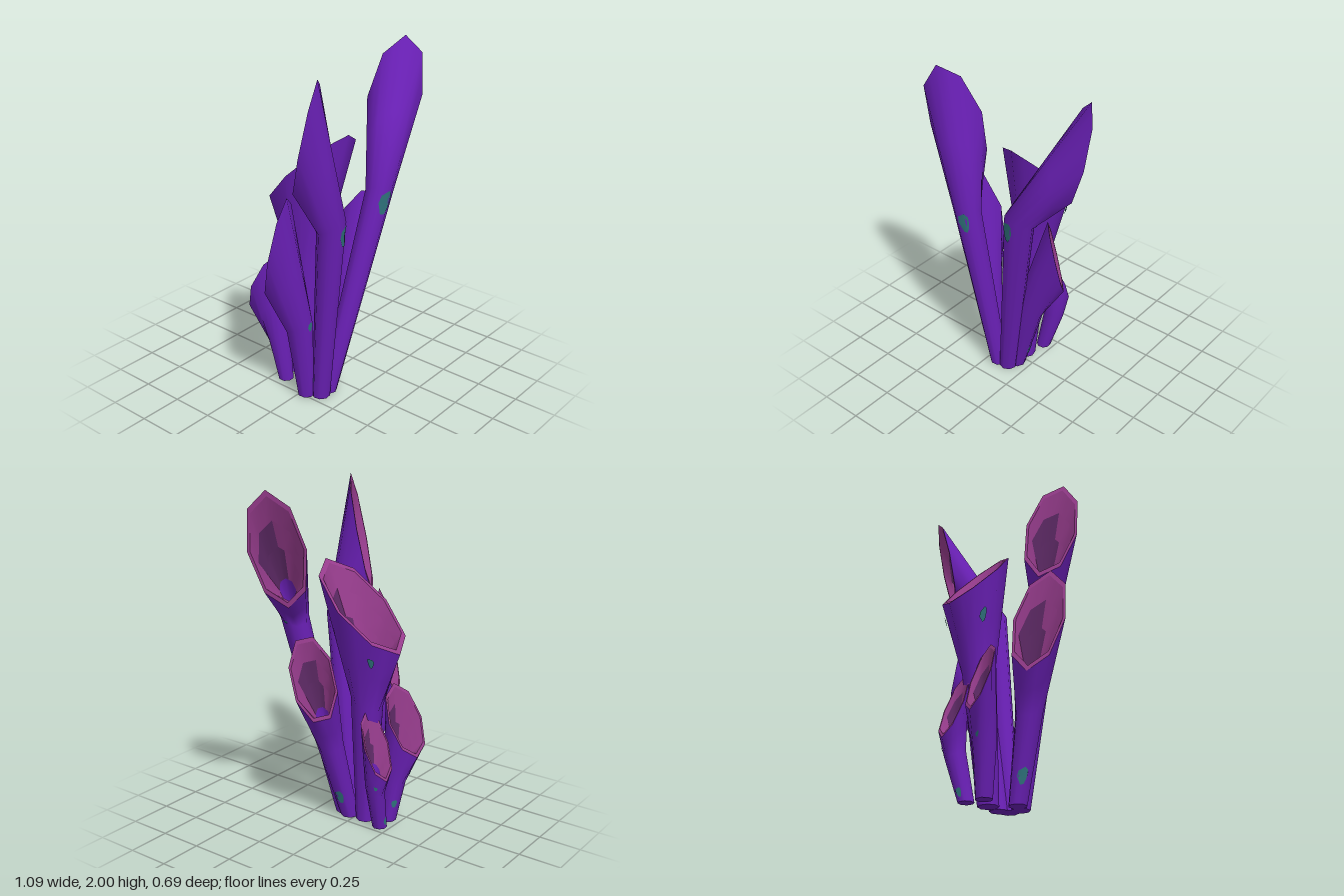
import * as THREE from 'three';

const SIDES = 8;
const STEP = 0.5;
const V = (a) => new THREE.Vector3(...a);

// A ring is an eight-sided ellipse: centre c, half axes u and v.
const ring = (c, u, v) => ({ c, u, v });
const scaled = (r, k) => ring(r.c, r.u.clone().multiplyScalar(k), r.v.clone().multiplyScalar(k));
const mix = (a, b, f) => ring(a.c.clone().lerp(b.c, f), a.u.clone().lerp(b.u, f), a.v.clone().lerp(b.v, f));

// Point on a ring at t sides around, following the straight edges.
function ringPoint(r, t) {
  const corner = (k) => {
    const a = (k / SIDES) * Math.PI * 2;
    return r.c.clone().addScaledVector(r.u, Math.cos(a)).addScaledVector(r.v, Math.sin(a));
  };
  const k = Math.floor(t);
  return corner(k).lerp(corner(k + 1), t - k);
}

function geometry(pos, idx) {
  const g = new THREE.BufferGeometry();
  g.setAttribute('position', new THREE.Float32BufferAttribute(pos, 3));
  g.setIndex(idx);
  g.computeVertexNormals();
  return g;
}

// Skin between successive rings, over sides t0 to t1 in half-side steps.
function loft(rings, t0 = 0, t1 = SIDES) {
  const strips = (t1 - t0) / STEP;
  const n = t1 - t0 === SIDES ? strips : strips + 1;
  const pos = [], idx = [];
  for (const r of rings) for (let k = 0; k < n; k++) pos.push(...ringPoint(r, t0 + k * STEP).toArray());
  for (let i = 0; i < rings.length - 1; i++) {
    for (let k = 0; k < strips; k++) {
      const a = i * n + k, b = i * n + ((k + 1) % n);
      idx.push(a, b, b + n, a, b + n, a + n);
    }
  }
  return geometry(pos, idx);
}

// Thin patch hugging the wall between two rings, centred at side t and height f.
function fleck(lower, upper, t, f, size) {
  const here = mix(lower, upper, f);
  const dt = (1.8 * size) / (here.u.length() + here.v.length());
  const df = (1.2 * size) / lower.c.distanceTo(upper.c);
  const at = (tt, ff) => ringPoint(scaled(mix(lower, upper, ff), 1.05), (tt + SIDES) % SIDES);
  const pos = at(t, f).toArray(), idx = [], n = 10;
  for (let i = 0; i < n; i++) {
    const a = (i / n) * Math.PI * 2, w = i % 3 ? 1 : 0.8;
    pos.push(...at(t + dt * w * Math.cos(a), f + df * w * Math.sin(a)).toArray());
    idx.push(0, i + 1, ((i + 1) % n) + 1);
  }
  return geometry(pos, idx);
}

// foot: x, z of the base; knee: where the stem widens into the cup
// mouth: centre of the opening; u, v: its upward and sideways half axes
// flecks: [side, height, size], height 0-1 on the stem and 1-2 on the cup
const TUBES = [
  { name: 'centralTube', foot: [-0.1, -0.06], knee: [-0.065, 0.76, -0.09],
    mouth: [-0.032, 1.32, -0.08], u: [0.018, 0.24, 0.24], v: [0.186, 0, 0.03],
    flecks: [[3, 1.75, 0.032], [5.4, 1.6, 0.04]] },
  { name: 'tallLeftTube', foot: [-0.11, 0.1], knee: [0.13, 1.24, 0.267],
    mouth: [0.407, 1.675, 0.15], u: [0.08, 0.325, 0.003], v: [0.117, 0, 0.103],
    flecks: [[0.6, 0.93, 0.06], [3.1, 1.1, 0.022]] },
  { name: 'tallRightTube', foot: [-0.18, 0.105], knee: [-0.263, 1.14, 0.247],
    mouth: [-0.38, 1.637, 0.18], u: [-0.028, 0.337, 0.1], v: [0.134, 0.055, -0.06],
    flecks: [[7.8, 0.93, 0.055], [4.5, 0.1, 0.025]] },
  { name: 'middleRightTube', foot: [-0.222, 0.03], knee: [-0.295, 0.49, 0.045],
    mouth: [-0.41, 0.99, 0], u: [-0.022, 0.325, 0.09], v: [0.137, 0.02, -0.05],
    flecks: [[4.5, 0.31, 0.042], [7.6, 0.96, 0.025]] },
  { name: 'middleLeftTube', foot: [-0.085, 0.045], knee: [0.05, 0.5, 0.09],
    mouth: [0.222, 0.932, 0.069], u: [-0.037, 0.233, 0.028], v: [0.078, 0.07, 0.11],
    flecks: [[3.4, 0.32, 0.042], [0.3, 0.9, 0.028]] },
  { name: 'backRightTube', foot: [-0.17, -0.175], knee: [-0.195, 0.27, -0.2],
    mouth: [-0.215, 0.63, -0.255], u: [0, 0.21, 0.085], v: [0.107, 0, 0.04],
    flecks: [[3.6, 0.5, 0.025], [4.6, 1.3, 0.02]] },
  { name: 'backLeftTube', foot: [-0.062, -0.188], knee: [0.005, 0.27, -0.2],
    mouth: [0.008, 0.535, -0.21], u: [-0.01, 0.195, 0.08], v: [0.088, 0, 0.02],
    flecks: [[4.4, 0.2, 0.025], [3.1, 1.35, 0.022]] },
];

export function createModel() {
  const material = (name, color) => {
    const m = new THREE.MeshStandardMaterial({ color });
    m.name = name;
    return m;
  };
  const purple = material('purple', 0x6a20b6);
  const pink = material('pink', 0x963c8c);
  const plum = material('plum', 0x5e2a66);
  const teal = material('teal', 0x30747e);

  const model = new THREE.Group();
  model.name = 'tubeCluster';

  for (const d of TUBES) {
    const tube = new THREE.Group();
    tube.name = d.name;
    model.add(tube);
    const add = (name, geo, mat) => {
      const mesh = new THREE.Mesh(geo, mat);
      mesh.name = name;
      tube.add(mesh);
    };

    // The upper lip of the mouth grows from the stem side opposite the opening.
    const mouth = ring(V(d.mouth), V(d.u), V(d.v));
    const away = mouth.u.clone().cross(mouth.v).setY(0).normalize().negate();
    const side = new THREE.Vector3(0, 1, 0).cross(away);
    const round = (c, r, tilt) => {
      const u = away.clone().multiplyScalar(r).setY(tilt * r);
      return ring(c, u, side.clone().multiplyScalar(r));
    };
    const kneeRadius = 0.024 + 0.36 * mouth.v.length();
    const knee = round(V(d.knee), kneeRadius, 0.45);
    const base = round(V([d.foot[0], 0, d.foot[1]]), 0.02 + 0.4 * kneeRadius, 0);

    // Outside
    add('outerWall', loft([base, knee, mix(knee, mouth, 0.5), mouth]), purple);
    add('foot', loft([scaled(base, 0), base]), purple);

    // Funnel: lip, pink wall with a plum stain on its upper side, purple throat
    const lip = scaled(mouth, 0.9);
    const throat = scaled(mix(knee, mouth, 0.42), 0.4);
    const floor = scaled(mix(knee, mouth, 0.2), 0.3);
    const middle = mix(throat, lip, 0.4);
    const upper = mix(throat, lip, 0.72);
    add('lip', loft([mouth, lip]), pink);
    add('innerWall', loft([lip, upper]), pink);
    for (const [high, low, t0, t1] of [[upper, middle, 0, 2], [middle, throat, -0.5, 2]]) {
      add('innerStain', loft([high, low], t0, t1), plum);
      add('innerWall', loft([high, low], t1, t0 + SIDES), pink);
    }
    add('throat', loft([throat, floor, scaled(floor, 0)]), purple);

    // Teal flecks on the outside
    for (const [t, h, size] of d.flecks) {
      const [from, to] = h < 1 ? [base, knee] : [knee, mouth];
      add('fleck', fleck(from, to, t, h % 1, size), teal);
    }
  }
  return model;
}
